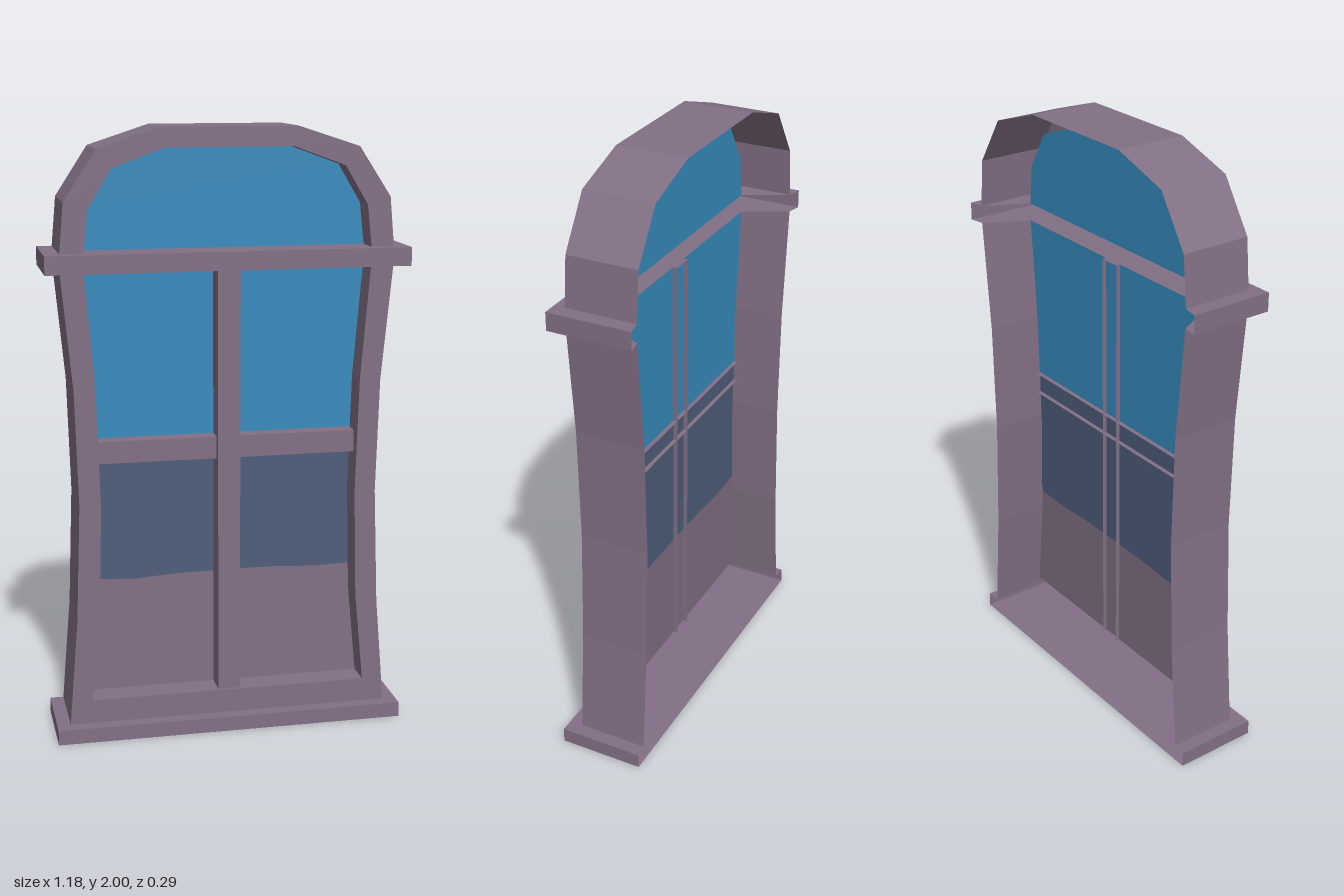
import * as THREE from 'three';

const material = (name, color) => {
  const m = new THREE.MeshStandardMaterial({ color, side: THREE.DoubleSide, flatShading: true });
  m.name = name;
  return m;
};

// Right half profiles, bottom to top: [x, y]
const outerLow = [[0.54, 0.05], [0.51, 0.41], [0.495, 0.8], [0.505, 1.18], [0.54, 1.555]];
const innerLow = [[0.465, 0.13], [0.435, 0.44], [0.425, 0.8], [0.435, 1.18], [0.465, 1.555]];
const outerArch = [[0.54, 1.615], [0.525, 1.775], [0.42, 1.935], [0.22, 2]];
const innerArch = [[0.465, 1.615], [0.45, 1.75], [0.375, 1.875], [0.205, 1.937]];

const FRONT = 0.1, BACK = -0.135, GLASS = 0.01;

const mirror = (pts) => pts.map(([x, y]) => [-x, y]);
// Left side bottom to top, over, then right side top to bottom
const arch = (pts) => [...mirror(pts), ...[...pts].reverse()];
// Left side top to bottom, across, then right side bottom to top
const trough = (pts) => [...mirror(pts).reverse(), ...pts];

// Flat polygon facing +z
function plate(pts, z) {
  const shape = new THREE.Shape(pts.map(([x, y]) => new THREE.Vector2(x, y)));
  return new THREE.ShapeGeometry(shape).translate(0, 0, z);
}

// Flat polygon facing up, given as [x, z]
function floorPlate(pts, y) {
  const shape = new THREE.Shape(pts.map(([x, z]) => new THREE.Vector2(x, -z)));
  return new THREE.ShapeGeometry(shape).rotateX(-Math.PI / 2).translate(0, y, 0);
}

// Thin wall that follows a path in xy and runs from z0 to z1
function wall(path, z0, z1) {
  const v = [];
  for (let i = 0; i < path.length - 1; i++) {
    const [ax, ay] = path[i], [bx, by] = path[i + 1];
    v.push(ax, ay, z0, bx, by, z0, bx, by, z1, ax, ay, z0, bx, by, z1, ax, ay, z1);
  }
  const g = new THREE.BufferGeometry();
  g.setAttribute('position', new THREE.Float32BufferAttribute(v, 3));
  g.computeVertexNormals();
  return g;
}

// Half width of the opening at height y
function openingAt(y) {
  for (let i = 0; i < innerLow.length - 1; i++) {
    const [ax, ay] = innerLow[i], [bx, by] = innerLow[i + 1];
    if (y <= by) return ax + (bx - ax) * (y - ay) / (by - ay);
  }
  return innerLow[innerLow.length - 1][0];
}

// Right edge of the opening between two heights
const edgeBetween = (y0, y1) => [
  [openingAt(y0), y0],
  ...innerLow.filter(([, y]) => y > y0 && y < y1),
  [openingAt(y1), y1],
];

export function createModel() {
  const group = new THREE.Group();
  group.name = 'archedWindow';
  const wood = material('mauveWood', 0x827085);
  const blue = material('blueGlass', 0x378cbe);
  const slate = material('slateGlass', 0x4f5e7b);

  const add = (name, mat, ...geometries) => {
    const part = new THREE.Group();
    part.name = name;
    for (const g of geometries) {
      const mesh = new THREE.Mesh(g, mat);
      mesh.name = name + 'Panel';
      part.add(mesh);
    }
    group.add(part);
  };

  // Frame: open-backed casing with a front face, outer sides and inner reveal
  add('lowerFrame', wood,
    plate([...trough(outerLow), ...trough(innerLow).reverse()], FRONT),
    wall(mirror(outerLow), FRONT, BACK),
    wall(outerLow, FRONT, BACK),
    wall(trough(innerLow), FRONT, GLASS));
  add('archFrame', wood,
    plate([...arch(outerArch), ...arch(innerArch).reverse()], FRONT),
    wall(arch(outerArch), FRONT, BACK),
    wall(arch(innerArch), FRONT, GLASS));

  // Panes: wood panel, slate band and blue glass, with a slightly uneven seam
  const seam = [[-0.3, 0.515], [-0.17, 0.524], [0.05, 0.527], [0.18, 0.526], [0.3, 0.519]];
  const lowEdge = edgeBetween(0.13, 0.522), midEdge = edgeBetween(0.522, 1);
  add('lowerPanel', wood,
    plate([...trough(lowEdge), ...[...seam].reverse()], GLASS));
  add('middlePane', slate, plate([...arch(midEdge), ...[...seam].reverse()], GLASS));
  add('upperPane', blue, plate(arch(edgeBetween(1, 1.555)), GLASS));
  add('archPane', blue, plate(arch(innerArch), GLASS));

  // Glazing bars: open-backed channels standing just through the panes
  const bar = (x0, x1, y0, y1, front) => {
    const loop = [[x0, y0], [x1, y0], [x1, y1], [x0, y1]];
    return [plate(loop, front), wall([...loop, loop[0]], front, GLASS - 0.015)];
  };
  add('mullion', wood, ...bar(-0.037, 0.037, 0.13, 1.555, 0.09));
  add('crossRail', wood, ...bar(-0.428, 0.428, 0.93, 1.003, 0.065));

  // Ledge and sill: open-backed trims wrapping the front and both sides
  const trim = (w, y0, y1, back, front, notchX, notchZ) => {
    const u = [
      [-w, back], [-w, front], [w, front], [w, back],
      [0.54, BACK], [notchX, notchZ], [-notchX, notchZ], [-0.54, BACK],
    ];
    const h = y1 - y0, d = front - back, y = (y0 + y1) / 2, z = (front + back) / 2;
    const face = new THREE.PlaneGeometry(2 * w, h).translate(0, y, front);
    const ends = [-1, 1].map((s) =>
      new THREE.PlaneGeometry(d, h).rotateY(s * Math.PI / 2).translate(s * w, y, z));
    return { u, parts: [face, ...ends, floorPlate(u, y1)] };
  };
  const ledge = trim(0.59, 1.555, 1.615, -0.145, 0.135, 0.465, GLASS);
  add('ledge', wood, ...ledge.parts, floorPlate(ledge.u, 1.555));
  const sill = trim(0.585, 0, 0.05, -0.14, 0.145, 0.54, FRONT);
  add('sill', wood, ...sill.parts,
    new THREE.PlaneGeometry(1.17, 0.285).rotateX(Math.PI / 2).translate(0, 0, 0.0025));

  return group;
}
